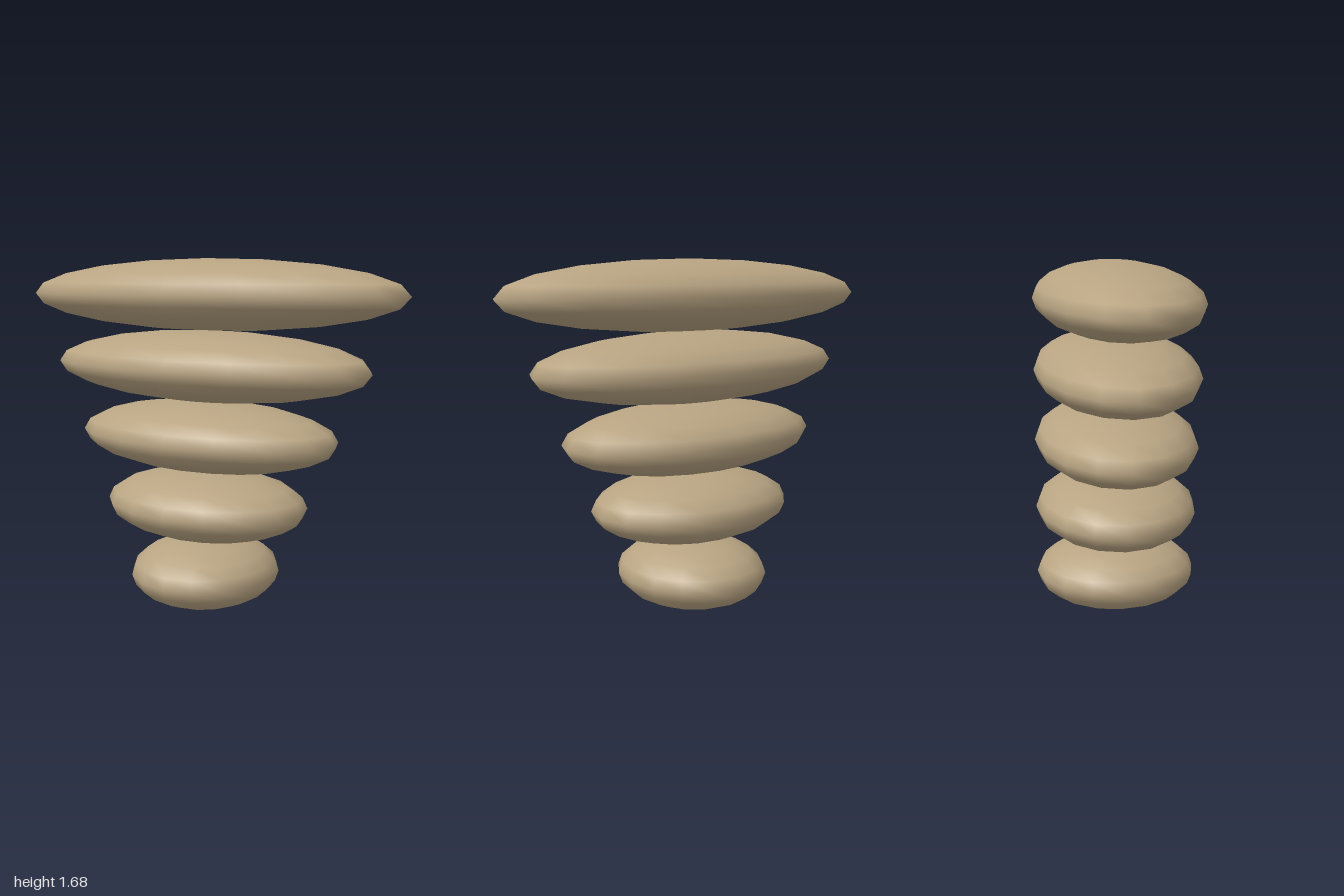
import * as THREE from 'three';

// Stack of five smooth flattened stones, each wider than the one below
export function createModel() {
  const group = new THREE.Group();
  group.name = 'stoneStack';
  const material = new THREE.MeshStandardMaterial({ color: 0xb8a482 });
  const geometry = new THREE.SphereGeometry(1, 16, 10);

  const count = 5;
  const halfHeight = 0.1677;
  const halfDepth = 0.387;
  const narrowest = 0.355;
  const widest = 1;

  for (let i = 0; i < count; i++) {
    const stone = new THREE.Mesh(geometry, material);
    stone.name = `stone${i + 1}`;
    const halfWidth = THREE.MathUtils.lerp(narrowest, widest, i / (count - 1));
    stone.scale.set(halfWidth, halfHeight, halfDepth);
    stone.position.y = halfHeight * (2 * i + 1);
    group.add(stone);
  }
  return group;
}
